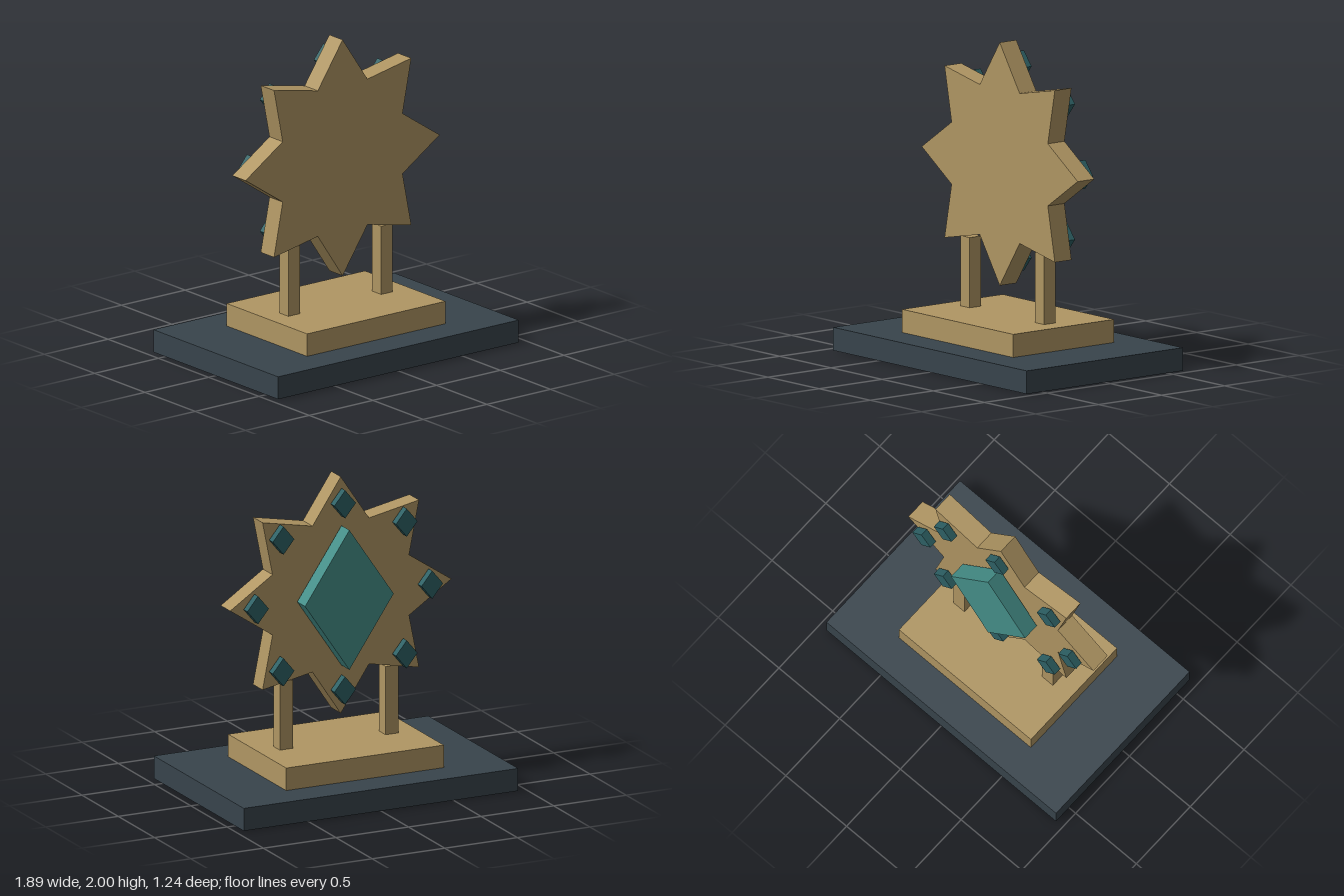
import * as THREE from 'three';

const material = (name, color) => {
  const m = new THREE.MeshStandardMaterial({ color });
  m.name = name;
  return m;
};

export function createModel() {
  const group = new THREE.Group();
  const gold = material('gold', 0xb09663);
  const slate = material('slate', 0x38444c);
  const teal = material('teal', 0x46908a);
  const darkTeal = material('dark teal', 0x2e6266);
  const centreY = 1.24;

  const add = (name, geometry, mat, x, y, z) => {
    const mesh = new THREE.Mesh(geometry, mat);
    mesh.name = name;
    mesh.position.set(x, y, z);
    group.add(mesh);
  };
  const plate = (points, depth) =>
    new THREE.ExtrudeGeometry(new THREE.Shape(points), { depth, bevelEnabled: false });
  const diamond = (w, h, depth) => plate([
    new THREE.Vector2(w, 0), new THREE.Vector2(0, h),
    new THREE.Vector2(-w, 0), new THREE.Vector2(0, -h),
  ], depth);

  // Stepped base
  add('base', new THREE.BoxGeometry(1.89, 0.145, 1.24), slate, 0, 0.0725, 0);
  add('plinth', new THREE.BoxGeometry(1.086, 0.145, 0.8), gold, 0, 0.2175, 0);

  // Two posts holding the star
  for (const side of [-1, 1]) {
    add(side > 0 ? 'leftPost' : 'rightPost',
      new THREE.BoxGeometry(0.09, 0.44, 0.09), gold, side * 0.364, 0.51, 0);
  }

  // Eight-pointed star
  const starPoints = [];
  for (let i = 0; i < 16; i++) {
    const r = i % 2 ? 0.509 : 0.762;
    const a = (i * Math.PI) / 8;
    starPoints.push(new THREE.Vector2(r * Math.cos(a), r * Math.sin(a)));
  }
  add('star', plate(starPoints, 0.132), gold, 0, centreY, -0.066);

  // Large gem on the back, ringed by eight small upright gems
  add('centreGem', diamond(0.305, 0.45, 0.109), teal, 0, centreY, -0.185);
  const smallGem = diamond(0.074, 0.09, 0.051);
  for (let i = 0; i < 8; i++) {
    const a = (i * Math.PI) / 4;
    add('smallGem', smallGem, darkTeal,
      0.6 * Math.cos(a), centreY + 0.6 * Math.sin(a), -0.127);
  }
  return group;
}
